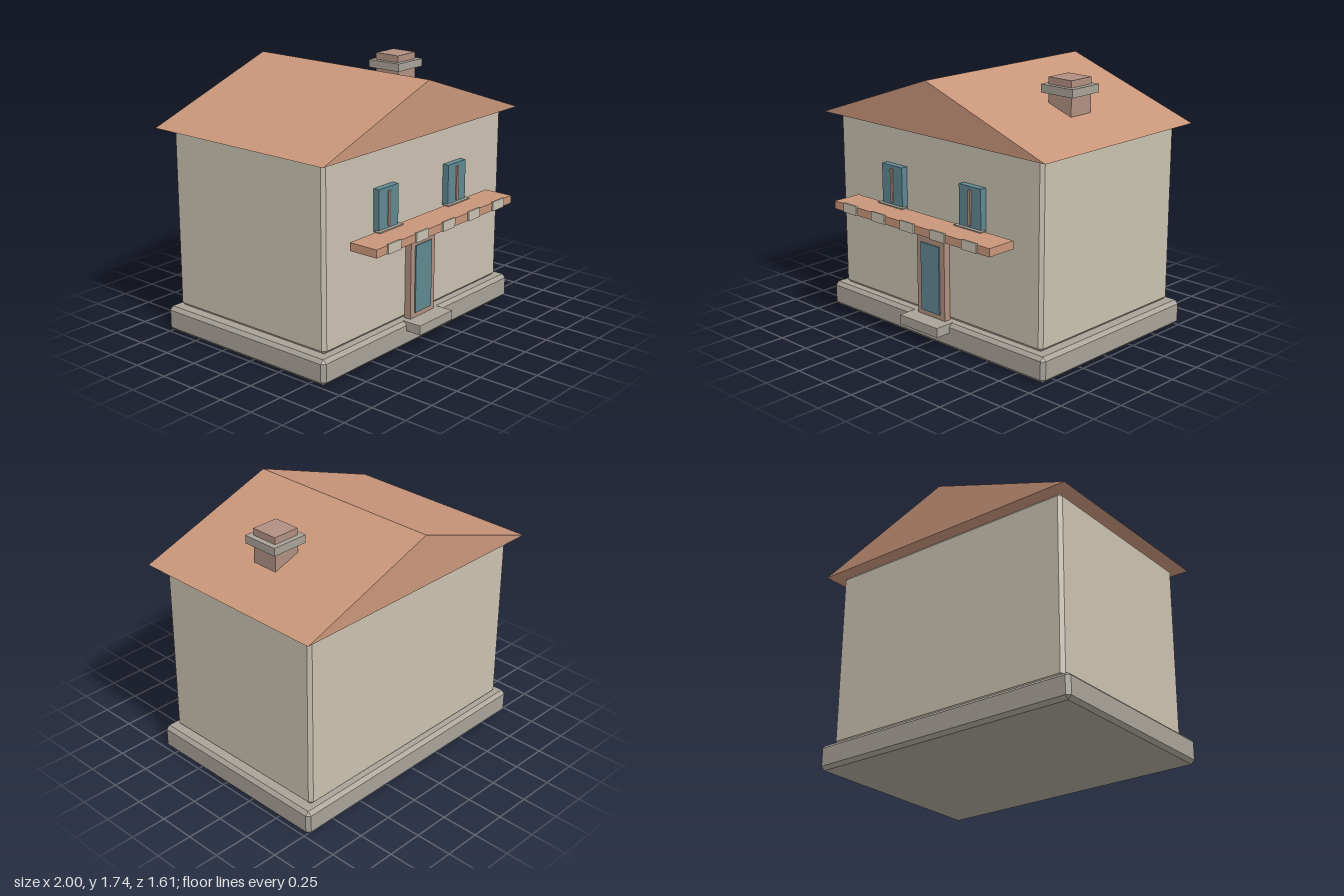
import * as THREE from 'three';
import { ConvexGeometry } from 'three/addons/geometries/ConvexGeometry.js';

const mat = (name, color) => {
  const m = new THREE.MeshStandardMaterial({ color });
  m.name = name;
  return m;
};

export function createModel() {
  const house = new THREE.Group();
  house.name = 'house';
  const plaster = mat('plaster', 0xc9c1b0);
  const stone = mat('stone', 0xa8a298);
  const terracotta = mat('terracotta', 0xc8957a);
  const brick = mat('brick', 0xb08f81);
  const teal = mat('teal', 0x5f8791);

  const add = (name, geometry, material) => {
    const mesh = new THREE.Mesh(geometry, material);
    mesh.name = name;
    house.add(mesh);
    return mesh;
  };

  // Box given by its limits on each axis
  const box = (name, material, [x0, x1], [y0, y1], [z0, z1]) => {
    const mesh = add(name, new THREE.BoxGeometry(x1 - x0, y1 - y0, z1 - z0), material);
    mesh.position.set((x0 + x1) / 2, (y0 + y1) / 2, (z0 + z1) / 2);
    return mesh;
  };

  // Box with every edge chamfered by b
  const chamferBox = (name, material, [x0, x1], [y0, y1], [z0, z1], b) => {
    const half = [(x1 - x0) / 2, (y1 - y0) / 2, (z1 - z0) / 2];
    const points = [];
    for (const sx of [-1, 1]) for (const sy of [-1, 1]) for (const sz of [-1, 1])
      for (let axis = 0; axis < 3; axis++) {
        const p = half.map((h, i) => (i === axis ? h : h - b));
        points.push(new THREE.Vector3(sx * p[0], sy * p[1], sz * p[2]));
      }
    const mesh = add(name, new ConvexGeometry(points), material);
    mesh.position.set((x0 + x1) / 2, (y0 + y1) / 2, (z0 + z1) / 2);
    return mesh;
  };

  // Plinth and walls
  chamferBox('plinth', stone, [-0.985, 0.985], [0, 0.17], [-0.775, 0.61], 0.024);
  chamferBox('walls', plaster, [-0.915, 0.915], [0.17, 1.39], [-0.727, 0.555], 0.022);

  // Gable roof
  const gable = new THREE.Shape([[-1, 1.39], [1, 1.39], [0, 1.74]].map(p => new THREE.Vector2(...p)));
  const roof = new THREE.ExtrudeGeometry(gable, { depth: 1.43, bevelEnabled: false });
  add('roof', roof.translate(0, 0, -0.802), terracotta);

  // Chimney with its collar
  box('chimney', brick, [0.47, 0.66], [1.49, 1.74], [-0.182, 0.008]);
  box('chimneyCollar', stone, [0.435, 0.697], [1.64, 1.694], [-0.215, 0.041]);

  // Door and step
  box('doorFrame', brick, [-0.126, 0.126], [0.17, 0.72], [0.55, 0.602]);
  box('door', teal, [-0.084, 0.084], [0.205, 0.668], [0.602, 0.611]);
  box('step', stone, [-0.174, 0.174], [0.107, 0.171], [0.58, 0.72]);

  // Windows with centre bar and sill
  for (const x of [-0.357, 0.357]) {
    box('window', teal, [x - 0.095, x + 0.095], [0.85, 1.126], [0.55, 0.6]);
    box('windowBar', brick, [x - 0.01, x + 0.01], [0.875, 1.102], [0.6, 0.61]);
    box('windowSill', stone, [x - 0.117, x + 0.117], [0.832, 0.861], [0.577, 0.625]);
  }

  // Awning with pale blocks along its front edge
  box('awning', terracotta, [-0.714, 0.714], [0.8, 0.854], [0.588, 0.795]);
  for (let i = -2; i <= 2; i++) {
    const x = i * 0.275;
    box('awningBlock', plaster, [x - 0.063, x + 0.063], [0.8, 0.864], [0.793, 0.806]);
  }
  return house;
}
